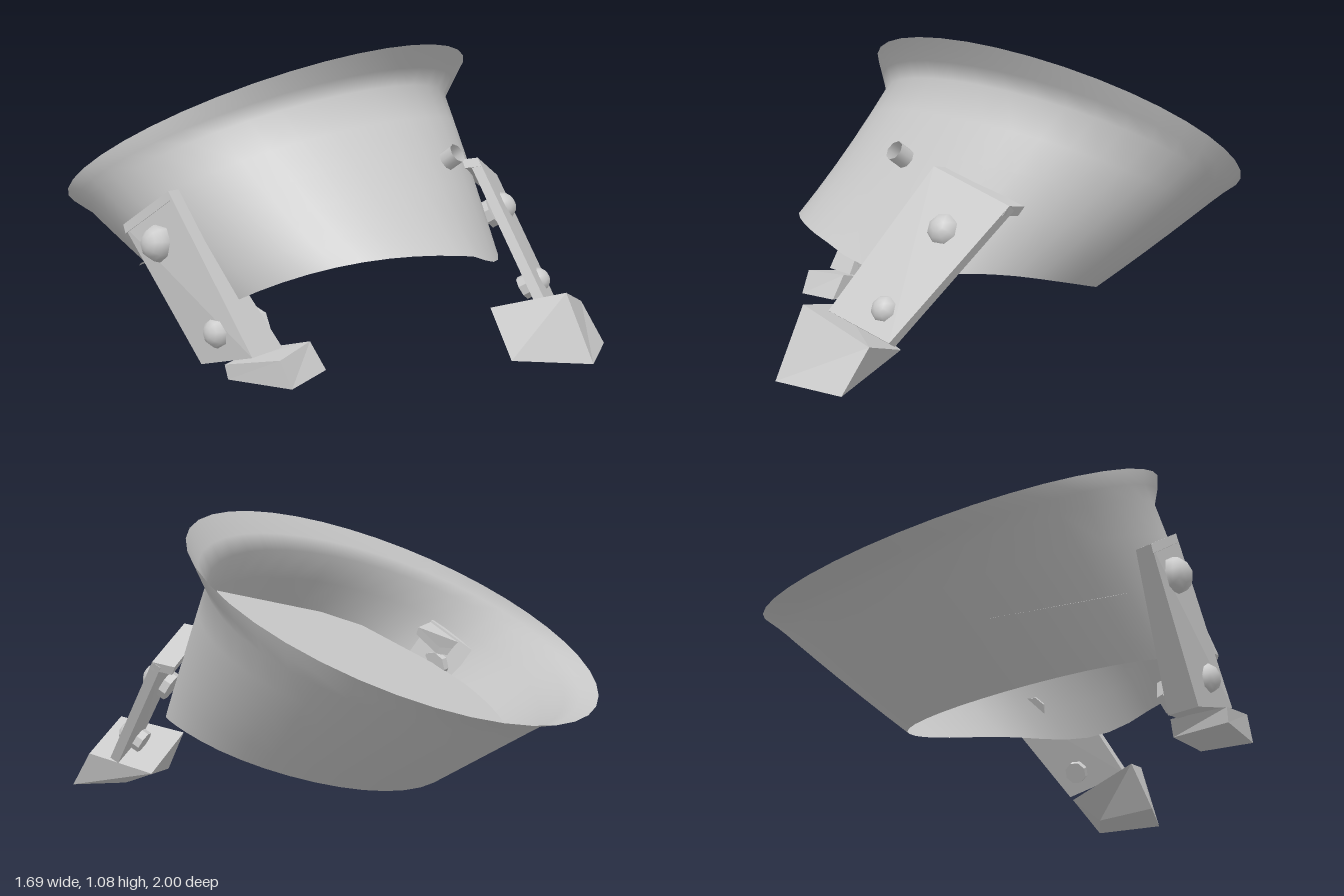
import * as THREE from 'three';

const grey = new THREE.MeshStandardMaterial({ color: 0xcccccc, side: THREE.DoubleSide });
const faceted = new THREE.MeshStandardMaterial({ color: 0xcccccc, flatShading: true, side: THREE.DoubleSide });
const V = (p) => new THREE.Vector3(...p);

function mesh(name, geometry, material = faceted) {
  const m = new THREE.Mesh(geometry, material);
  m.name = name;
  return m;
}

// Six-sided block between two matching four-corner loops
function block(name, a, b) {
  const p = [...a, ...b];
  const quads = [[0, 1, 2, 3], [7, 6, 5, 4]];
  for (let i = 0; i < 4; i++) {
    const j = (i + 1) % 4;
    quads.push([j, i, i + 4, j + 4]);
  }
  // flip the winding when the first loop faces the second one
  const n = V(a[1]).sub(V(a[0])).cross(V(a[2]).sub(V(a[0])));
  const flip = n.dot(V(b[0]).sub(V(a[0]))) > 0;
  const pos = [];
  for (const q of quads) {
    const [s, t, u, v] = flip ? [...q].reverse() : q;
    for (const k of [s, t, u, s, u, v]) pos.push(...p[k]);
  }
  const g = new THREE.BufferGeometry();
  g.setAttribute('position', new THREE.Float32BufferAttribute(pos, 3));
  g.computeVertexNormals();
  return mesh(name, g);
}

// Tilted oval cross-sections of the tub: x, z, y centres and radii, then sideways skew of z and y
const RIM = [0.02, 0.825, -0.34, 0.66, 0.735, 0.345, 0.07, 0.025];
const FLARE = [0.01, 0.81, -0.325, 0.6, 0.685, 0.31, 0.06, 0.02];
const THROAT = [0.005, 0.785, -0.31, 0.56, 0.643, 0.288, 0.05, 0.015];
const BASE = [-0.085, 0.6, 0.11, 0.54, 0.225, 0.145, 0, 0];

function tubWall() {
  const seg = 40;
  const sections = [RIM, FLARE, THROAT];
  for (let i = 1; i <= 5; i++) sections.push(THROAT.map((v, k) => v + (BASE[k] - v) * i / 5));
  const pos = [], idx = [];
  sections.forEach(([cx, rx, cz, rz, cy, ry, skewZ, skewY], r) => {
    const low = Math.max(0, r - 2) / 5;
    for (let s = 0; s < seg; s++) {
      const a = s / seg * Math.PI * 2, si = Math.sin(a), co = Math.cos(a), front = Math.max(0, co);
      // the lower edge rises at front -x and dips at front +x
      const wave = si > 0 ? 0.2 * front ** 4 : 0.12 * front;
      const warp = low * low * (0.03 * si * si - si * wave);
      pos.push(cx + rx * si, cy + ry * co + skewY * si + warp, cz + rz * co + skewZ * si);
      if (r) {
        const t = (s + 1) % seg, u = (r - 1) * seg, d = r * seg;
        idx.push(u + s, d + s, d + t, u + s, d + t, u + t);
      }
    }
  });
  const g = new THREE.BufferGeometry();
  g.setAttribute('position', new THREE.Float32BufferAttribute(pos, 3));
  g.setIndex(idx);
  g.computeVertexNormals();
  return mesh('tubWall', g, grey);
}

// Flat sloping panel inside the tub
function tubFloor() {
  const outline = [[-0.4, -0.6], [0.08, -0.63], [0.47, -0.43], [0.62, -0.24], [0.58, 0.04], [0.4, 0.2],
    [-0.3, 0.19], [-0.54, 0.13], [-0.7, -0.14], [-0.69, -0.35], [-0.58, -0.48]];
  const g = new THREE.ShapeGeometry(new THREE.Shape(outline.map(([x, z]) => new THREE.Vector2(x, -z))));
  g.rotateX(-Math.PI / 2);
  const p = g.attributes.position;
  for (let i = 0; i < p.count; i++) {
    p.setY(i, 0.245 + 0.51 * (p.getZ(i) + 0.6) + 0.19 * (p.getX(i) + 0.4));
  }
  g.computeVertexNormals();
  return mesh('tubFloor', g);
}

// Domed bolt head outside the strap, flat nut on its inner side
function bolt(at, normal, radius, depth, nutRadius) {
  const g = new THREE.Group();
  g.name = 'bolt';
  const dome = mesh('boltHead', new THREE.SphereGeometry(radius, 8, 4, 0, Math.PI * 2, 0, Math.PI / 2), grey);
  const nut = mesh('nut', new THREE.CylinderGeometry(nutRadius, nutRadius, 0.03, 8));
  nut.position.y = -depth;
  g.add(dome, nut);
  g.position.set(...at);
  g.quaternion.setFromUnitVectors(new THREE.Vector3(0, 1, 0), V(normal).normalize());
  return g;
}

// Strap from its outer corners and the inward shift of each corner
function strap(name, corners, shifts) {
  return block(name, corners, corners.map((c, i) => c.map((v, k) => v + shifts[i][k])));
}

function group(name, ...parts) {
  const g = new THREE.Group();
  g.name = name;
  g.add(...parts);
  return g;
}

export function createModel() {
  const model = new THREE.Group();
  model.name = 'tiltedTub';
  model.add(tubWall(), tubFloor());

  // Short open tube on the front wall
  const spout = mesh('spout', new THREE.CylinderGeometry(0.037, 0.037, 0.06, 8, 1, true), grey);
  spout.position.set(0.083, 0.68, 0.452);
  spout.quaternion.setFromUnitVectors(new THREE.Vector3(0, 1, 0), new THREE.Vector3(0, 0.57, 0.82).normalize());
  model.add(spout);

  // Front leg: thin strap with a lip turned in along its top edge
  const frontNormal = [0.27, 0.53, 0.8];
  const thin = [-0.01, -0.02, -0.03], lip = [-0.02, -0.015, -0.085], edge = [-0.01, -0.03, 0.02];
  const topLeft = [0.27, 0.66, 0.45], topRight = [0.56, 0.555, 0.37];
  const drop = (c) => c.map((v, k) => v + edge[k]);
  model.add(group('frontLeg',
    strap('strap', [topLeft, [0.15, 0.2, 0.8], [0.39, 0.13, 0.73], topRight], [thin, thin, thin, thin]),
    strap('strapLip', [topLeft, drop(topLeft), drop(topRight), topRight], [lip, lip, lip, lip]),
    bolt([0.378, 0.46, 0.49], frontNormal, 0.06, 0.045, 0.055),
    bolt([0.313, 0.215, 0.685], frontNormal, 0.05, 0.045, 0.045),
    block('foot',
      [[0.02, 0.17, 0.66], [0.14, 0.235, 0.89], [0.41, 0.14, 0.82], [0.29, 0.06, 0.61]],
      [[0, 0, 0.76], [0.14, 0, 1], [0.4, 0, 0.92], [0.27, 0, 0.76]])));

  // Side leg, thicker toward the foot, with a lip reaching through the wall
  const sideNormal = [-0.96, 0.12, -0.2];
  model.add(group('sideLeg',
    strap('strap', [[-0.78, 0.61, -0.11], [-0.74, 0.09, 0.22], [-0.75, 0.03, 0], [-0.81, 0.48, -0.3]],
      [[0.065, 0, 0], [0.15, 0, 0], [0.12, 0, 0], [0.06, 0, 0]]),
    block('strapLip',
      [[-0.78, 0.61, -0.11], [-0.81, 0.48, -0.3], [-0.69, 0.5, -0.16], [-0.61, 0.59, -0.1]],
      [[-0.78, 0.58, -0.1], [-0.81, 0.45, -0.29], [-0.69, 0.47, -0.15], [-0.61, 0.56, -0.09]]),
    bolt([-0.785, 0.43, -0.15], sideNormal, 0.065, 0.08, 0.06),
    bolt([-0.735, 0.15, 0.07], sideNormal, 0.055, 0.14, 0.078),
    block('foot',
      [[-0.775, 0.06, 0.13], [-0.73, 0.1, 0.33], [-0.53, 0.11, 0.29], [-0.57, 0.06, 0.1]],
      [[-0.77, 0.01, 0.14], [-0.72, 0.01, 0.37], [-0.52, 0.02, 0.35], [-0.55, 0.01, 0.14]])));

  return model;
}
